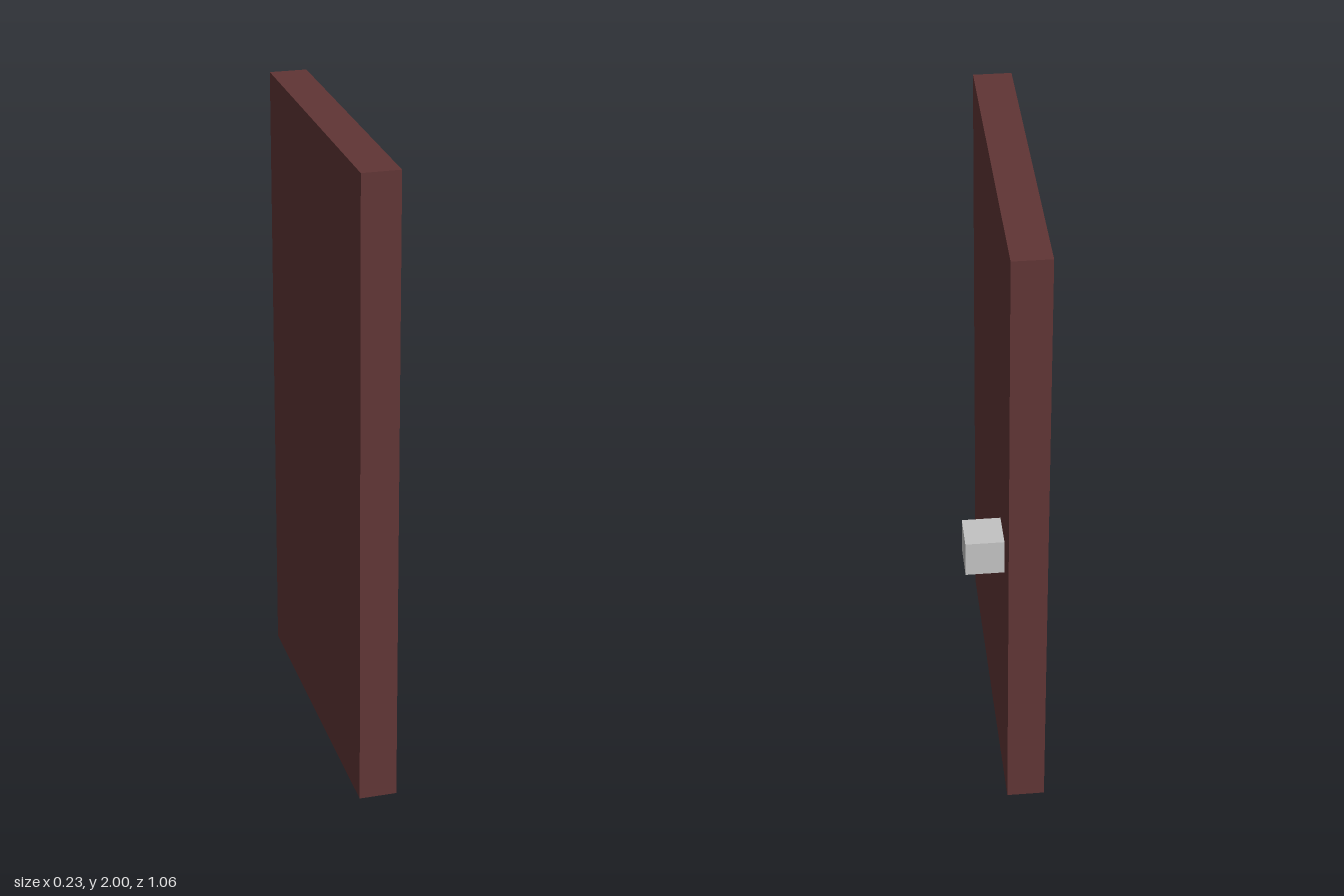
import * as THREE from 'three';

export function createModel() {
  const group = new THREE.Group();
  group.name = 'door';

  const wood = new THREE.MeshStandardMaterial({ color: 0x603535 });
  wood.name = 'dark red wood';
  const metal = new THREE.MeshStandardMaterial({ color: 0xc3c3c3 });
  metal.name = 'light grey metal';

  const thickness = 0.117;

  function addBox(name, material, size, position) {
    const mesh = new THREE.Mesh(new THREE.BoxGeometry(...size), material);
    mesh.name = name;
    mesh.position.set(...position);
    group.add(mesh);
  }

  // Door slab, with its outer face on x = 0
  addBox('doorPanel', wood, [thickness, 2, 1.056], [-thickness / 2, 1, 0]);

  // Cube knob on the +x face, near the back edge
  addBox('doorKnob', metal, [thickness, thickness, thickness], [thickness / 2, 0.884, -0.354]);

  return group;
}
